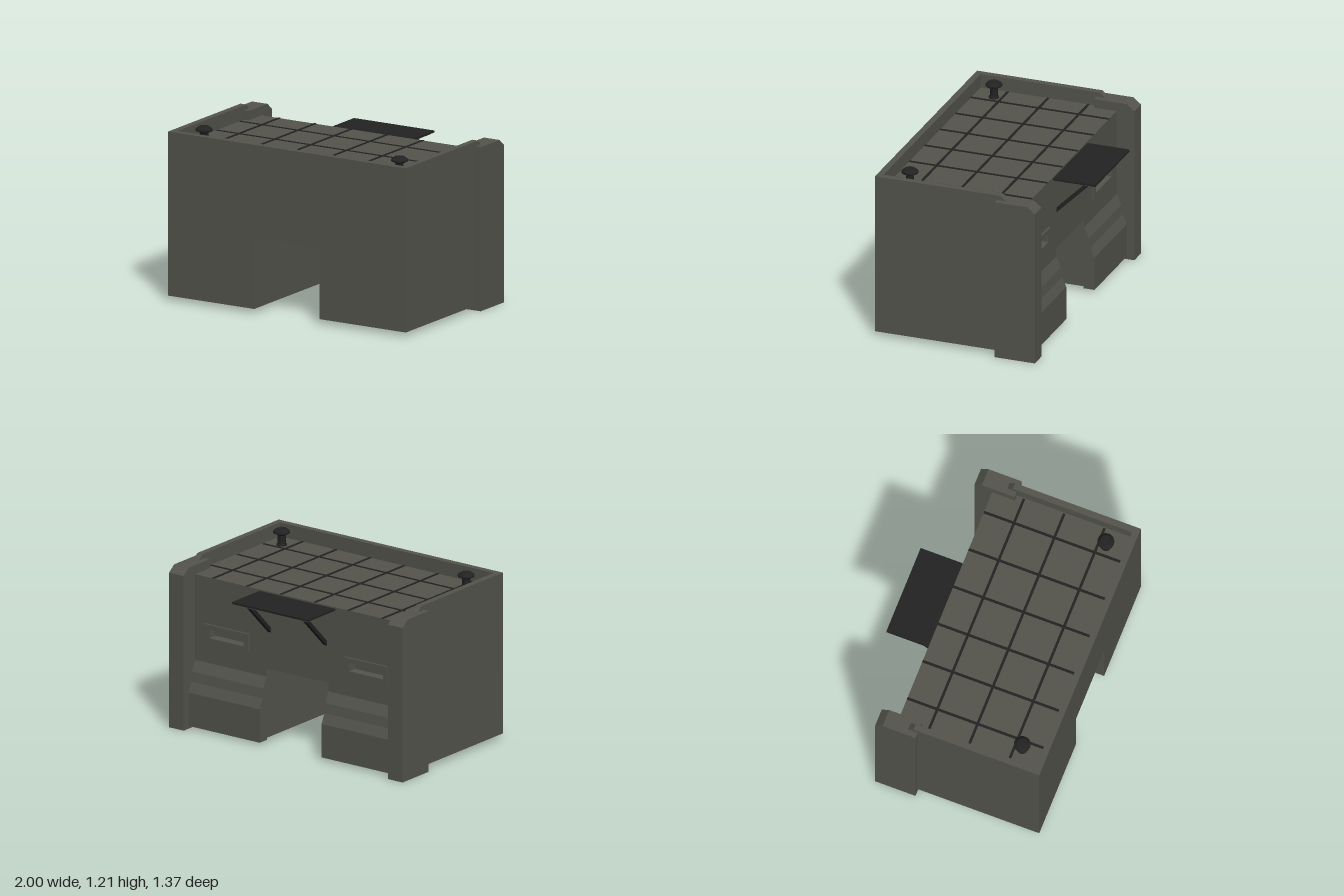
import * as THREE from 'three';

const grey = new THREE.MeshStandardMaterial({ color: 0x54544d });
grey.name = 'olive grey';
const black = new THREE.MeshStandardMaterial({ color: 0x222222 });
black.name = 'black';

export function createModel() {
  const model = new THREE.Group();

  const add = (name, geometry, material = grey) => {
    const mesh = new THREE.Mesh(geometry, material);
    mesh.name = name;
    model.add(mesh);
    return mesh;
  };
  const box = (name, x0, x1, y0, y1, z0, z1, material) =>
    add(name, new THREE.BoxGeometry(x1 - x0, y1 - y0, z1 - z0)
      .translate((x0 + x1) / 2, (y0 + y1) / 2, (z0 + z1) / 2), material);
  const toShape = (pts) => new THREE.Shape(pts.map(([x, y]) => new THREE.Vector2(x, y)));
  const rect = (x0, x1, y0, y1) => [[x0, y0], [x1, y0], [x1, y1], [x0, y1]];

  // Extrude an outline of [x, y] points from z0 to z1
  const alongZ = (name, pts, z0, z1, holes = []) => {
    const shape = toShape(pts);
    shape.holes.push(...holes.map(toShape));
    return add(name, new THREE.ExtrudeGeometry(shape, { depth: z1 - z0, bevelEnabled: false }).translate(0, 0, z0));
  };
  // Extrude a side profile of [z, y] points from x0 to x1
  const alongX = (name, pts, x0, x1, material) =>
    add(name, new THREE.ExtrudeGeometry(toShape(pts.map(([z, y]) => [-z, y])), { depth: x1 - x0, bevelEnabled: false })
      .rotateY(Math.PI / 2).translate(x0, 0, 0), material);
  // Run a maker for each side, with the x range mirrored in order
  const bothSides = (x0, x1, make) => {
    make(x0, x1);
    make(-x1, -x0);
  };

  // Block outline with the knee opening in the middle
  const arch = (w, top) => [
    [-w, 0.035], [-0.265, 0.035], [-0.265, 0.535], [0.265, 0.535],
    [0.265, 0.035], [w, 0.035], [w, top], [-w, top],
  ];
  const deskY = 1.09;

  // Main block, front wall and back panel with handle pockets
  const pockets = [rect(0.455, 0.745, 0.66, 0.72), rect(-0.745, -0.455, 0.66, 0.72)];
  alongZ('deskBody', arch(0.915, deskY), -0.32, 0.635);
  alongZ('frontWall', arch(0.96, 1.19), 0.635, 0.68);
  alongZ('backPanel', arch(0.915, deskY), -0.375, -0.32, pockets);

  // Raised frames around the pockets
  bothSides(0.41, 0.785, (x0, x1) =>
    alongZ('handleFrame', rect(x0, x1, 0.625, 0.755), -0.39, -0.375,
      [rect(x0 + 0.042, x1 - 0.042, 0.66, 0.72)]));

  // Side walls with a sloped rear corner
  bothSides(0.915, 0.96, (x0, x1) =>
    alongX('sideWall', [[0.635, 0.035], [0.635, 1.19], [-0.24, 1.19], [-0.285, 1.15], [-0.285, 0.035]], x0, x1));

  // Rear pillars
  bothSides(0.875, 1, (x0, x1) =>
    alongX('pillar', [[-0.21, 0], [-0.21, 1.155], [-0.45, 1.155], [-0.505, 1.11], [-0.505, 0]], x0, x1));

  // Stepped lower fronts beside the knee opening
  bothSides(0.265, 0.875, (x0, x1) =>
    alongX('lowerFront', [[-0.37, 0.02], [-0.37, 0.475], [-0.375, 0.475], [-0.41, 0.4],
      [-0.42, 0.33], [-0.45, 0.26], [-0.45, 0.02]], x0, x1));

  // Grid lines on the table top
  for (let i = 0; i < 6; i++) {
    const x = -0.73 + i * 0.29;
    box('gridLineLong', x - 0.009, x + 0.009, deskY, deskY + 0.004, -0.375, 0.635, black);
  }
  for (const z of [-0.155, 0.14, 0.435]) {
    box('gridLineCross', -0.912, 0.907, deskY, deskY + 0.003, z - 0.009, z + 0.009, black);
  }

  // Mushroom-shaped knobs
  const knobProfile = [[0, 1.21], [0.035, 1.21], [0.058, 1.192], [0.058, 1.18],
    [0.028, 1.165], [0.028, 1.105], [0.036, 1.1], [0.036, deskY]]
    .reverse().map(([r, y]) => new THREE.Vector2(r, y));
  for (const x of [-0.79, 0.79]) {
    const knob = new THREE.LatheGeometry(knobProfile, 20).toNonIndexed();
    knob.computeVertexNormals();
    add('knob', knob.translate(x, 0, 0.49), black);
  }

  // Rear shelf, its underside plate and slanted struts
  box('shelf', -0.325, 0.325, 1.066, 1.08, -0.685, -0.375, black);
  box('shelfUnderside', -0.3, 0.3, 1.052, 1.066, -0.66, -0.375);
  bothSides(0.225, 0.255, (x0, x1) =>
    alongX('strut', [[-0.37, 0.795], [-0.37, 0.83], [-0.595, 1.054], [-0.632, 1.054]], x0, x1, black));

  return model;
}
